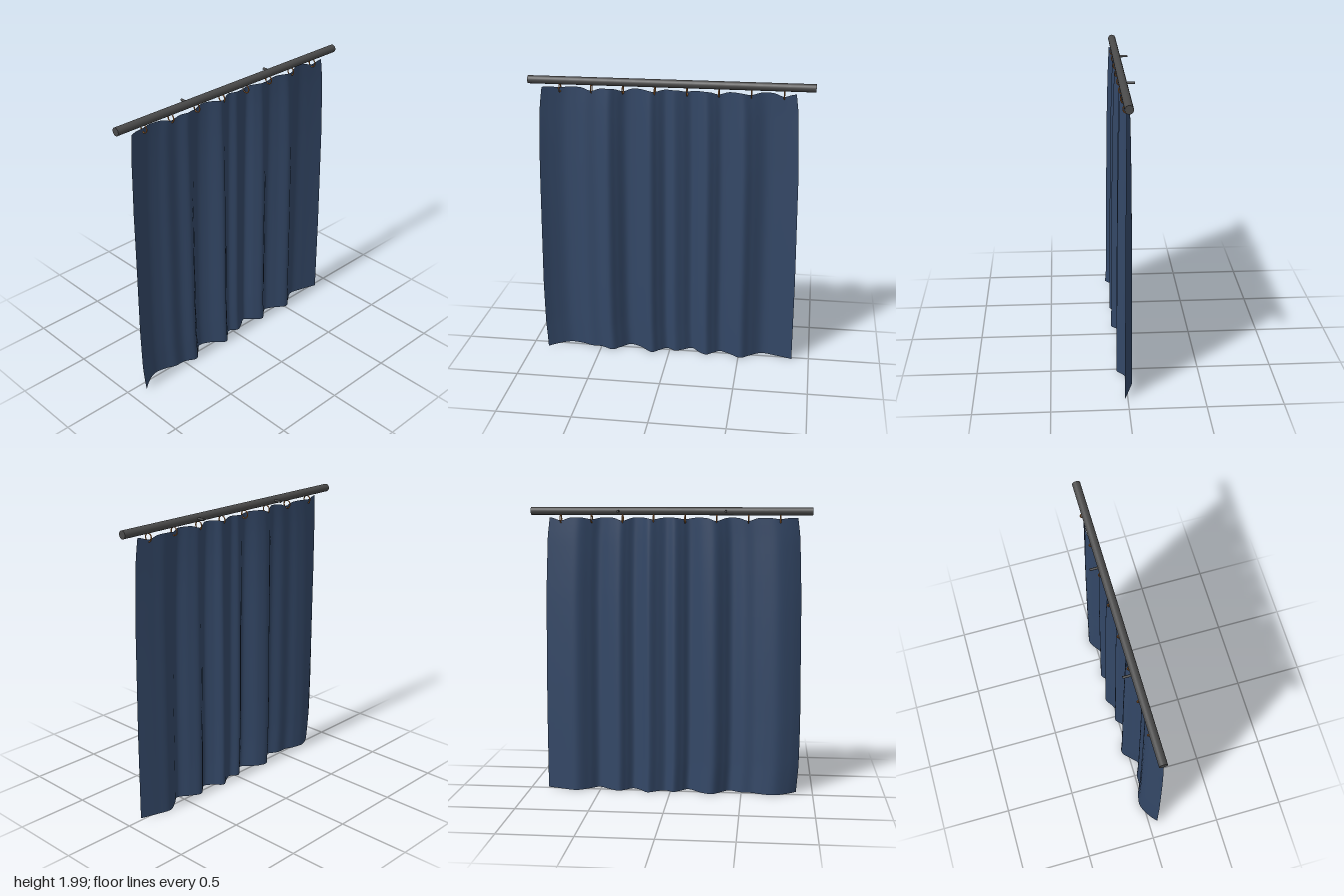
import * as THREE from 'three';

const mat = (color, side = THREE.FrontSide) => new THREE.MeshStandardMaterial({ color, side });

// Fold line at the hem: x across, z depth
const folds = [
  [-0.905, 0.058], [-0.84, 0.012], [-0.75, -0.028], [-0.66, -0.015], [-0.59, 0.012], [-0.51, 0.018],
  [-0.43, 0.054], [-0.375, 0.012], [-0.31, -0.044], [-0.23, -0.018], [-0.14, 0.056], [-0.085, 0.018],
  [-0.03, -0.022], [0.03, 0.012], [0.09, -0.015], [0.15, -0.048], [0.205, 0.005], [0.26, 0.04],
  [0.31, 0.005], [0.36, -0.028], [0.43, 0.005], [0.51, 0.054], [0.575, 0.01], [0.66, -0.04],
  [0.76, -0.018], [0.88, 0.02],
];
const ringX = [-0.745, -0.53, -0.315, -0.1, 0.115, 0.327, 0.541, 0.755];
const ringDip = [0.008, 0.022, 0.022, 0.012, 0.012, 0.022, 0.014, 0.022];

// Side outlines, by height: left and right edge
const leftEdge = [[0, -0.885], [0.2, -0.9], [0.5, -0.905], [1.4, -0.895], [1.8, -0.88], [1.93, -0.863]];
const rightEdge = [[0, 0.88], [0.6, 0.88], [1.4, 0.87], [1.8, 0.852], [1.93, 0.835]];

function sample(table, y) {
  for (let i = 1; i < table.length; i++) {
    const [y0, a] = table[i - 1], [y1, b] = table[i];
    if (y <= y1) return THREE.MathUtils.lerp(a, b, (y - y0) / (y1 - y0));
  }
  return table[table.length - 1][1];
}

// Hanging cloth: a fine grid draped along the fold line, calmer at the top
function curtainGeometry() {
  const line = new THREE.SplineCurve(folds.map(([x, z]) => new THREE.Vector2(x, z)));
  const geo = new THREE.PlaneGeometry(1, 1, 200, 40);
  const pos = geo.attributes.position;
  for (let i = 0; i < pos.count; i++) {
    const u = pos.getX(i) + 0.5, v = pos.getY(i) + 0.5;
    const p = line.getPoint(u);
    const y = 0.006 + v * 1.924;
    const s = (p.x + 0.905) / 1.785;
    const x = THREE.MathUtils.lerp(sample(leftEdge, y), sample(rightEdge, y), s);
    let z = p.y * (1 - 0.2 * v - 0.28 * v ** 5);
    // the hem's corner kicks forward a little
    z += 0.01 * Math.exp(-s * 40 - v * 30);
    // the top edge sags at each ring
    let dip = 0;
    ringX.forEach((r, k) => { dip += ringDip[k] * Math.exp(-(((x - r) / 0.045) ** 2)); });
    pos.setXYZ(i, x, y - dip * v ** 20, z);
  }
  geo.computeVertexNormals();
  return geo;
}

export function createModel() {
  const model = new THREE.Group();
  model.name = 'curtain on rod';
  const add = (name, geo, material, x, y, z) => {
    const mesh = new THREE.Mesh(geo, material);
    mesh.name = name;
    mesh.position.set(x, y, z);
    model.add(mesh);
    return mesh;
  };

  const metal = mat(0x4a4a4a);
  const brass = mat(0xb87333);

  // Rod
  const rod = new THREE.CylinderGeometry(0.027, 0.027, 1.92, 24).rotateZ(Math.PI / 2);
  add('rod', rod, metal, 0, 1.973, 0.003);

  // Wall pins behind the rod
  const pin = new THREE.CylinderGeometry(0.008, 0.008, 0.075, 12).rotateX(Math.PI / 2);
  [-0.378, 0.352].forEach((x) => add('wallPin', pin, metal, x, 1.973, -0.0365));

  // Rings
  const ring = new THREE.TorusGeometry(0.027, 0.004, 8, 24).rotateY(Math.PI / 2);
  ringX.forEach((x) => add('ring', ring, brass, x, 1.921, 0));

  // Cloth
  add('curtain', curtainGeometry(), mat(0x334766, THREE.DoubleSide), 0, 0, 0);

  return model;
}
